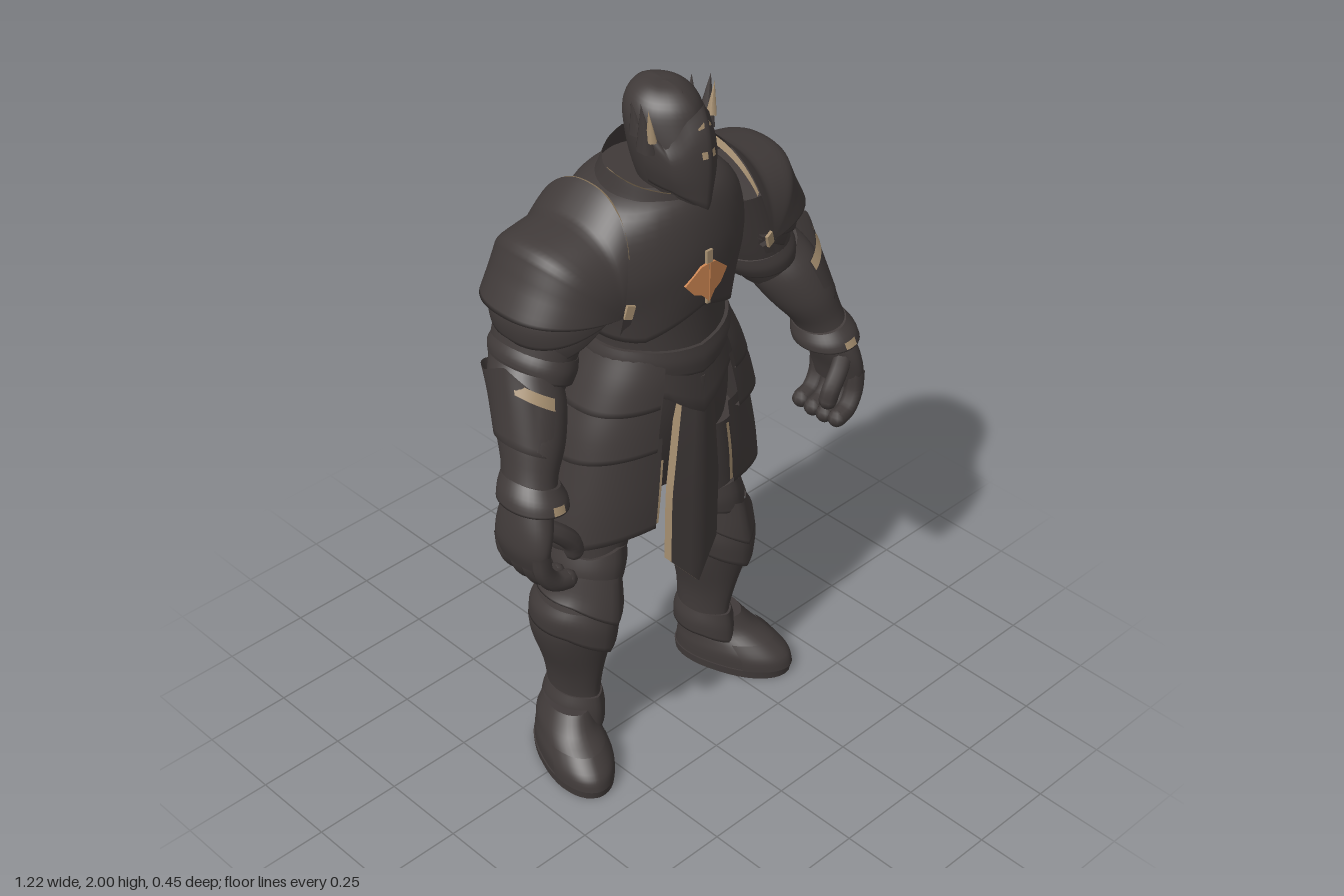
import * as THREE from 'three';

const steel = new THREE.MeshStandardMaterial({ name: 'darkSteel', color: 0x403a39, side: THREE.DoubleSide });
const brass = new THREE.MeshStandardMaterial({ name: 'wornBrass', color: 0xa68f70, side: THREE.DoubleSide });
const copper = new THREE.MeshStandardMaterial({ name: 'copper', color: 0xc88350, side: THREE.DoubleSide });
const PI = Math.PI;

// Smooth in-between sections, Catmull-Rom on every number
function refine(secs, sub) {
  const out = [], at = i => secs[Math.min(Math.max(i, 0), secs.length - 1)];
  for (let i = 0; i < secs.length - 1; i++)
    for (let k = 0; k < sub; k++) {
      const t = k / sub, [a, b, c, d] = [at(i - 1), at(i), at(i + 1), at(i + 2)];
      out.push(b.map((q, j) => q + 0.5 * t * (c[j] - a[j] + t * (2 * a[j] - 5 * q + 4 * c[j] - d[j] + t * (3 * (q - c[j]) + d[j] - a[j])))));
    }
  out.push(secs[secs.length - 1]);
  return out;
}

// Skin over rings [x, y, z, radiusX, radiusZ, tilt], listed bottom to top; angle 0 is the front
function loft(parent, name, sections, o = {}) {
  const { mat = steel, sub = 4, n = 40, arc, open = !!arc, e = 1, keel = 0, spine = 0, lip = 0, hem = () => 0, top = () => 0 } = o;
  const rows = refine(sections.map(s => [...s, 0].slice(0, 6)), sub);
  const last = rows.length - 1;
  if (lip) rows.unshift(rows[0].map((q, i) => (i === 3 || i === 4 ? q - lip : q)));
  const [a0, a1] = arc || [-PI, PI];
  const cols = arc ? n + 1 : n;
  const pos = [], idx = [];
  const pow = q => Math.sign(q) * Math.abs(q) ** e;
  rows.forEach(([x, y, z, rx, rz, tilt], i) => {
    const v = Math.max(0, i - (lip ? 1 : 0)) / last;
    for (let j = 0; j < cols; j++) {
      const a = a0 + (a1 - a0) * j / n, r = rx * pow(Math.sin(a));
      const ridge = keel * Math.max(0, 1 - Math.abs(a) / 0.8) - spine * Math.max(0, 1 - (PI - Math.abs(a)) / 0.7);
      pos.push(x + r * Math.cos(tilt), y + r * Math.sin(tilt) + hem(a) * (1 - v) + top(a) * v, z + rz * pow(Math.cos(a)) + ridge);
    }
  });
  for (let i = 0; i < rows.length - 1; i++)
    for (let j = 0; j < n; j++) {
      const a = i * cols + j, b = i * cols + (j + 1) % cols;
      idx.push(a, b, a + cols, b, b + cols, a + cols);
    }
  // End caps with their own corners, so the rims stay crisp
  if (!open) for (const i of [0, rows.length - 1]) {
    const base = pos.length / 3;
    pos.push(...rows[i].slice(0, 3));
    for (let j = 0; j < n; j++) pos.push(...pos.slice((i * cols + j) * 3, (i * cols + j) * 3 + 3));
    for (let j = 0; j < n; j++) {
      const p = base + 1 + j, q = base + 1 + (j + 1) % n;
      idx.push(base, ...(i ? [p, q] : [q, p]));
    }
  }
  const g = new THREE.BufferGeometry();
  g.setAttribute('position', new THREE.Float32BufferAttribute(pos, 3));
  g.setIndex(idx);
  g.computeVertexNormals();
  return add(parent, name, g, mat);
}

function add(parent, name, geo, mat, p = [0, 0, 0], r = [0, 0, 0], s = [1, 1, 1]) {
  const m = new THREE.Mesh(geo, mat);
  m.name = name;
  m.position.set(...p); m.rotation.set(...r); m.scale.set(...s);
  parent.add(m);
  return m;
}

// Reflected copy of a group, with the corner order turned round
function mirrored(group, name) {
  const out = new THREE.Group();
  out.name = name;
  group.children.forEach(m => {
    m.updateMatrix();
    const g = m.geometry.clone().applyMatrix4(m.matrix).scale(-1, 1, 1);
    const old = g.index ? [...g.index.array] : [...Array(g.attributes.position.count).keys()];
    for (let i = 0; i < old.length; i += 3) [old[i], old[i + 1]] = [old[i + 1], old[i]];
    g.setIndex(old);
    add(out, m.name, g, m.material);
  });
  return out;
}

const front = (a, w) => Math.max(0, 1 - Math.abs(a) / w);
const back = (a, w) => Math.max(0, 1 - (PI - Math.abs(a)) / w);

function buildBody(g) {
  loft(g, 'belly', [[0, 1.2, 0, .2, .16], [0, 1.3, 0, .192, .155], [0, 1.38, 0, .195, .155], [0, 1.46, 0, .2, .16]], { keel: .01, e: .9 });
  loft(g, 'breastplate', [[0, 1.36, .005, .203, .162], [0, 1.45, -.002, .22, .178], [0, 1.55, -.01, .255, .186], [0, 1.65, -.018, .25, .178],
    [0, 1.715, -.02, .2, .155], [0, 1.75, -.02, .125, .11]],
    { keel: .01, spine: .018, e: .88, lip: .015, hem: a => .07 * front(a, .8) - .04 * back(a, .7) });
  loft(g, 'belt', [[0, 1.27, 0, .205, .168], [0, 1.3, 0, .21, .17], [0, 1.33, 0, .202, .163]], { e: .9, keel: .01, lip: .01, hem: a => -.04 * front(a, .9) - .04 * back(a, .9), top: a => -.02 * front(a, .9) });
  loft(g, 'waistPlate', [[0, 1.2, 0, .215, .176], [0, 1.29, 0, .206, .166]], { e: .9, keel: .008, lip: .012, open: true, hem: a => -.09 * front(a, .55) - .09 * back(a, .55) });
  loft(g, 'hips', [[0, .84, -.02, .2, .1], [0, .95, -.02, .25, .13], [0, 1.1, -.01, .24, .15], [0, 1.25, 0, .2, .155]]);

  // Collar, raised behind and dipping in front, with brass on its inner rim
  const rim = a => -.055 * front(a, 1.5) + .035 * back(a, 1.3);
  loft(g, 'gorget', [[0, 1.67, 0, .19, .168], [0, 1.72, .002, .158, .145], [0, 1.785, .008, .141, .122]],
    { open: true, keel: .012, lip: .01, hem: a => -.04 * front(a, .9) + .03 * back(a, 1.5), top: rim });
  for (const arc of [[.45, 1.9], [-1.9, -.45]])
    loft(g, 'gorgetTrim', [[0, 1.765, .008, .118, .104], [0, 1.787, .008, .139, .121]], { mat: brass, sub: 1, arc, n: 14, keel: .012, hem: rim, top: rim });

  // Hanging cloth panels, folded along the middle, with brass edges
  for (const s of [1, -1]) {
    const box = new THREE.BoxGeometry(2, 1, .026, 6, 10, 1), p = box.attributes.position;
    for (let i = 0; i < p.count; i++) {
      const u = p.getX(i), t = .5 - p.getY(i), w = .05 + .035 * Math.min(1, t * 1.6);
      const out = s > 0 ? .168 - .008 * t : .165 + .045 * Math.min(1, t * 1.5);
      p.setXYZ(i, u * w, 1.22 - t * (.67 - .1 * Math.abs(u)), p.getZ(i) + s * (out - .02 * Math.abs(u)));
    }
    box.computeVertexNormals();
    add(g, s > 0 ? 'frontTabard' : 'backTabard', box, [brass, brass, steel, brass, steel, steel]);
  }
}

function buildHelmet(g) {
  loft(g, 'helmet', [[0, 1.71, .05, .062, .1], [0, 1.77, .055, .082, .117], [0, 1.84, .048, .095, .116], [0, 1.91, .034, .096, .104], [0, 1.96, .032, .08, .084], [0, 1.99, .032, .045, .045], [0, 1.998, .032, .005, .005]],
    { keel: .012, hem: a => .07 * back(a, 2) });
  loft(g, 'visor', [[0, 1.735, .055, .08, .114], [0, 1.8, .056, .096, .12], [0, 1.87, .05, .102, .121], [0, 1.92, .028, .1, .12]],
    { arc: [-1.5, 1.5], keel: .018, lip: .01, hem: a => -.03 * front(a, .9) + .03 * Math.abs(a) / 1.5, top: a => .06 * front(a, .6) - .05 * front(Math.abs(a) - .8, .4) });
  add(g, 'crest', new THREE.ConeGeometry(.03, .13, 4), steel, [0, 1.935, .118], [-.4, 0, 0], [.7, 1, .9]);
  const side = new THREE.Group();
  side.name = 'leftHelmetHorn';
  add(side, 'horn', new THREE.ConeGeometry(.036, .13, 6), steel, [.108, 1.925, .075], [0, 0, -.12], [.5, 1, .9]);
  add(side, 'smallHorn', new THREE.ConeGeometry(.025, .09, 6), steel, [.096, 1.93, .03], [-.1, 0, -.1], [.5, 1, 1]);
  add(side, 'hornTrim', new THREE.ConeGeometry(.024, .085, 6), brass, [.105, 1.935, .094], [0, 0, -.12], [.5, 1, .7]);
  loft(side, 'ridgeTrim', [[0, 1.85, .051, .108, .1265], [0, 1.95, .035, .108, .125]], { mat: brass, sub: 3, arc: [.07, .2], n: 4, keel: .018, top: a => -.12 * a });
  g.add(side, mirrored(side, 'rightHelmetHorn'));
}

function buildEmblem(g) {
  const half = new THREE.Group();
  half.name = 'leftEmblemHalf';
  const shape = new THREE.Shape([[0, -.065], [.02, -.042], [.045, -.032], [.072, 0], [.045, .022], [.024, .04], [0, .045]].map(q => new THREE.Vector2(...q)));
  add(half, 'emblem', new THREE.ExtrudeGeometry(shape, { depth: .008, bevelEnabled: false }), copper, [0, 1.515, .188], [0, .16, 0]);
  g.add(half, mirrored(half, 'rightEmblemHalf'));
  add(g, 'emblemPin', new THREE.BoxGeometry(.012, .15, .008), brass, [0, 1.518, .19]);
  add(g, 'emblemPinTop', new THREE.BoxGeometry(.02, .035, .008), brass, [0, 1.578, .192]);
}

function buildArm(g) {
  const pauldron = (name, x, y, rz, arms, o = {}) =>
    loft(g, name, arms.map(([t, r]) => [x, y, -.025, r, rz, t]), { arc: [-.12, PI + .12], e: .85, lip: .015, ...o });
  pauldron('shoulderPlate', .26, 1.5, .188, [[.1, .228], [.28, .216], [.5, .211], [.72, .219], [.88, .228], [1.17, .209], [1.5, .205], [1.66, .235], [1.8, .28]], { sub: 3 });
  pauldron('shoulderTrim', .258, 1.5, .188, [[1.81, .28], [1.85, .262]], { mat: brass, sub: 1, lip: 0, arc: [.5, 2.8] });
  pauldron('shoulderUnderPlate', .27, 1.5, .17, [[-.32, .198], [0, .195], [.3, .18]]);
  pauldron('upperArmPlate', .28, 1.47, .145, [[-.58, .175], [-.3, .172], [0, .16]]);
  add(g, 'shoulderClasp', new THREE.BoxGeometry(.024, .036, .008), brass, [.243, 1.512, .166], [0, .2, .3]);
  loft(g, 'upperArm', [[.425, 1.29, -.01, .075, .095, .4], [.39, 1.36, -.03, .09, .12, .4], [.355, 1.45, -.03, .095, .125, .35], [.3, 1.6, -.02, .09, .12, .3]]);
  loft(g, 'armBand', [[.397, 1.335, -.025, .093, .122, .4], [.385, 1.365, -.03, .1, .13, .4], [.372, 1.395, -.03, .094, .122, .4]], { lip: .01 });
  loft(g, 'forearm', [[.53, 1.09, .11, .064, .08, .25], [.51, 1.15, .09, .066, .08, .35], [.475, 1.23, .055, .085, .1, .42], [.44, 1.31, .01, .092, .11, .42], [.42, 1.36, -.02, .08, .1, .42]], { spine: .01 });
  loft(g, 'cuff', [[.527, 1.075, .118, .083, .1, .12], [.522, 1.1, .112, .08, .096, .2], [.515, 1.13, .1, .066, .083, .3]], { lip: .012 });
  loft(g, 'cuffTrim', [[.527, 1.08, .118, .084, .101, .12], [.524, 1.1, .113, .0825, .098, .2]], { mat: brass, sub: 1, n: 6, arc: [-.25, .2] });
  loft(g, 'elbowGuard', [[.49, 1.2, .065, .08, .096, .4], [.458, 1.28, .03, .094, .11, .42], [.435, 1.335, .0, .105, .122, .42]],
    { arc: [.1, 3], top: a => .045 * Math.max(0, 1 - Math.abs(a - 1.3) / .7), lip: .01 });
  loft(g, 'elbowTrim', [[.446, 1.31, .014, .104, .122, .42], [.435, 1.337, .0, .107, .124, .42]], { mat: brass, sub: 1, n: 8, arc: [.15, 1.1], top: a => .02 * (a - .4), hem: a => .02 * (a - .4) });

  // Hand, half closed
  loft(g, 'palm', [[.57, .92, .125, .03, .08], [.57, .97, .125, .042, .092], [.556, 1.03, .122, .05, .088], [.538, 1.1, .115, .05, .065]]);
  const digit = (name, pts, r) => {
    const c = new THREE.CatmullRomCurve3(pts.map(q => new THREE.Vector3(...q)));
    add(g, name, new THREE.TubeGeometry(c, 12, r, 8), steel);
    add(g, name + 'Tip', new THREE.SphereGeometry(r, 8, 6), steel, pts[pts.length - 1]);
  };
  for (let i = 0; i < 4; i++) {
    const z = .06 + .044 * i, d = .006 * Math.abs(i - 1.5);
    digit('finger', [[.573, .97, z], [.566, .9 + d, z + .003], [.535, .858 + d, z + .008], [.495, .846 + d, z + .01]], .026);
  }
  digit('thumb', [[.55, 1.03, .17], [.505, .995, .19], [.472, .955, .196], [.464, .925, .194]], .026);
}

function buildLeg(g) {
  // Layered skirt plates round the hip
  const tasset = (name, secs, arc, hem, o = {}) => loft(g, name, secs, { arc, e: .85, lip: .012, hem, ...o });
  const lowHem = a => .05 * Math.cos(a);
  tasset('upperTasset', [[.0, 1.18, -.005, .275, .183], [0, 1.25, 0, .24, .174], [0, 1.32, 0, .2, .16]], [.45, PI - .4], a => -.02 * Math.sin(a));
  tasset('middleTasset', [[0, 1.02, -.01, .318, .19], [0, 1.11, -.008, .292, .184], [0, 1.22, 0, .245, .168]], [.42, PI - .28], a => .03 * Math.cos(a));
  tasset('lowerTasset', [[0, .75, -.02, .352, .186], [0, .88, -.016, .33, .184], [0, 1.07, -.01, .285, .172]], [.36, PI - .2], lowHem);
  tasset('tassetTrim', [[0, .76, -.02, .346, .181], [0, .88, -.016, .325, .179], [0, 1.0, -.012, .297, .172]], [.33, .37], lowHem, { mat: brass, n: 2, lip: 0 });

  loft(g, 'thigh', [[.235, .56, -.03, .08, .1], [.21, .68, -.03, .086, .108], [.185, .8, -.03, .105, .115], [.165, .95, -.02, .1, .11]]);
  loft(g, 'thighBand', [[.228, .62, -.03, .095, .115], [.22, .66, -.03, .097, .117], [.213, .7, -.03, .09, .111]], { lip: .012, keel: .01, hem: a => .02 * Math.abs(a) / PI, top: a => .03 * front(a, .8) });
  loft(g, 'kneeGuard', [[.25, .555, -.03, .108, .125], [.243, .59, -.03, .098, .12], [.235, .65, -.03, .088, .11]],
    { open: true, keel: .025, lip: .012, hem: a => -.05 * front(a, 1) + .015 * Math.abs(Math.sin(a)) });
  loft(g, 'greave', [[.25, .12, -.06, .062, .088], [.252, .2, -.06, .06, .085], [.257, .29, -.056, .07, .098], [.262, .4, -.053, .1, .123], [.262, .48, -.043, .108, .13], [.252, .57, -.03, .088, .112]],
    { keel: .01, top: a => .03 * front(a, 1) });
  loft(g, 'greaveTop', [[.262, .46, -.045, .11, .131], [.26, .51, -.038, .113, .13], [.255, .545, -.032, .1, .12]], { open: true, keel: .016, lip: .01, hem: a => -.05 * front(a, 1) });
  loft(g, 'ankleCuff', [[.258, .13, -.06, .076, .1], [.255, .17, -.059, .074, .097], [.253, .205, -.058, .063, .088]], { lip: .012, keel: .012, hem: a => -.03 * front(a, 1) });

  // Boot, turned outwards
  const boot = [
    loft(g, 'boot', [[0, .02, .0, .09, .172], [0, .06, -.002, .09, .166], [0, .09, -.02, .083, .142], [0, .125, -.05, .074, .11], [-.01, .17, -.065, .062, .085]], { keel: .01, e: .88 }),
    loft(g, 'toePlate', [[0, .025, .004, .093, .172], [0, .06, .0, .092, .164], [0, .1, -.022, .084, .138]], { arc: [-1.2, 1.2], keel: .012, e: .88 }),
    loft(g, 'sole', [[0, 0, 0, .092, .172], [0, .025, 0, .094, .175]], { sub: 1, keel: .01, e: .88 })
  ];
  boot.forEach(m => { m.position.set(.312, 0, .002); m.rotation.y = .36; });
}

export function createModel() {
  const model = new THREE.Group();
  model.name = 'armouredKnight';
  const part = (name, build) => {
    const g = new THREE.Group();
    g.name = name;
    build(g);
    model.add(g);
    return g;
  };
  part('body', buildBody);
  part('head', buildHelmet);
  part('chestEmblem', buildEmblem);
  model.add(mirrored(part('leftArm', buildArm), 'rightArm'));
  model.add(mirrored(part('leftLeg', buildLeg), 'rightLeg'));
  return model;
}
